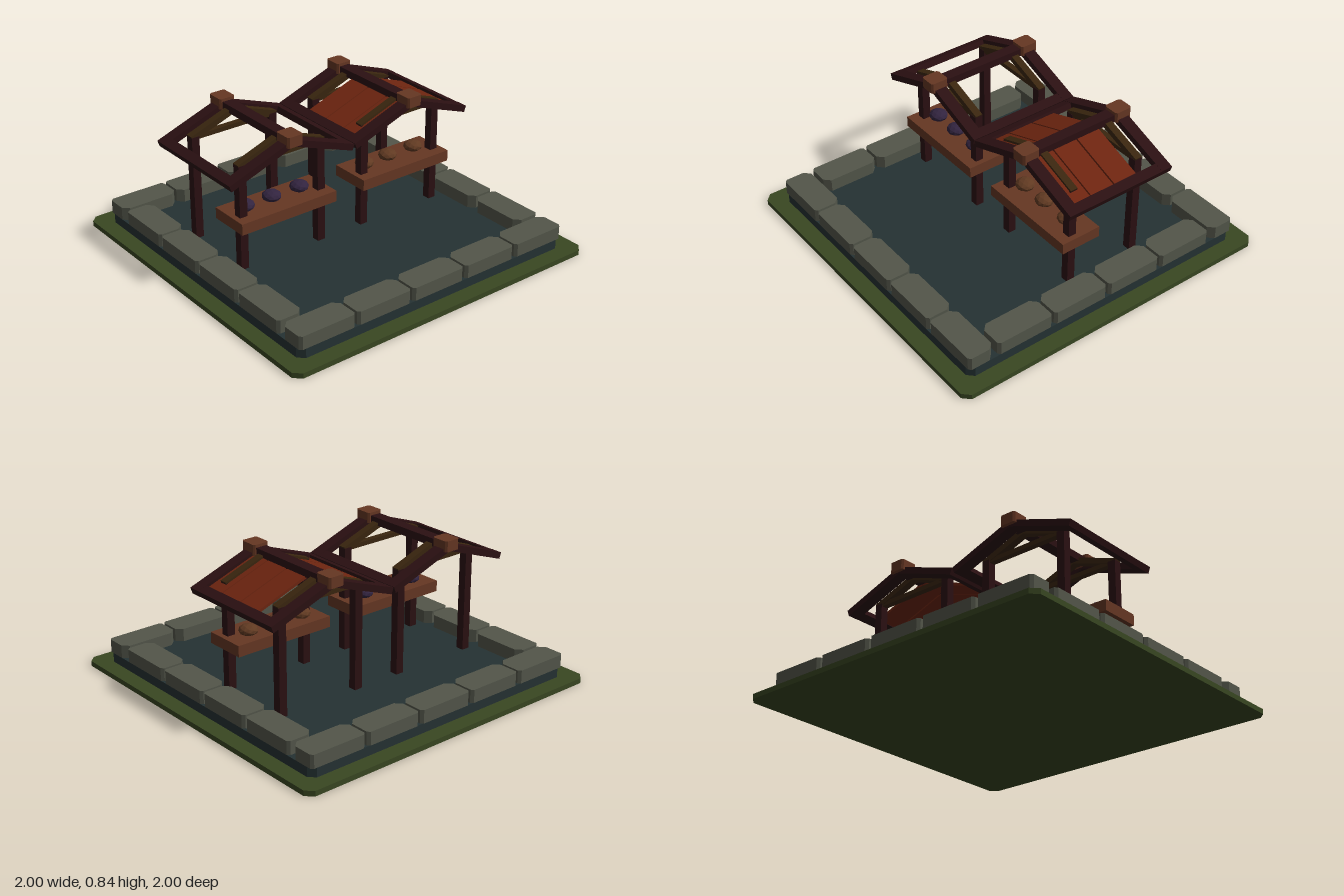
import * as THREE from 'three';

const paint = (name, color) => {
  const m = new THREE.MeshStandardMaterial({ color, flatShading: true });
  m.name = name;
  return m;
};

export function createModel() {
  const root = new THREE.Group();
  root.name = 'marketStalls';
  const grass = paint('grass green', 0x394722);
  const floor = paint('slate floor', 0x253233);
  const stone = paint('stone grey', 0x53564a);
  const darkWood = paint('dark wood', 0x2b1012);
  const midWood = paint('brown wood', 0x663723);
  const oliveWood = paint('olive wood', 0x3a260f);
  const plankRed = paint('red planks', 0x6e2510);
  const purple = paint('purple produce', 0x32243f);
  const tan = paint('tan produce', 0x613a22);

  const add = (parent, name, geo, mat, x = 0, y = 0, z = 0) => {
    const m = new THREE.Mesh(geo, mat);
    m.name = name;
    m.position.set(x, y, z);
    parent.add(m);
    return m;
  };
  const box = (parent, name, mat, x0, x1, y0, y1, z0, z1) =>
    add(parent, name, new THREE.BoxGeometry(x1 - x0, y1 - y0, z1 - z0), mat,
      (x0 + x1) / 2, (y0 + y1) / 2, (z0 + z1) / 2);

  // upright slab with cut corners; cB for the -z side, cF for the +z side
  const slab = (w, d, h, cB, cF = cB) => {
    const a = w / 2, b = d / 2;
    const pts = [[-a + cF, -b], [a - cF, -b], [a, -b + cF], [a, b - cB],
      [a - cB, b], [-a + cB, b], [-a, b - cB], [-a, -b + cF]];
    const g = new THREE.ExtrudeGeometry(new THREE.Shape(pts.map(p => new THREE.Vector2(...p))),
      { depth: h, bevelEnabled: false });
    return g.rotateX(-Math.PI / 2);
  };

  // beam in the xy plane between two points
  const beam = (parent, name, mat, x0, y0, x1, y1, thick, z0, z1) => {
    const m = add(parent, name,
      new THREE.BoxGeometry(Math.hypot(x1 - x0, y1 - y0), thick, z1 - z0), mat,
      (x0 + x1) / 2, (y0 + y1) / 2, (z0 + z1) / 2);
    m.rotation.z = Math.atan2(y1 - y0, x1 - x0);
    return m;
  };

  // ground
  add(root, 'grassBase', slab(2, 2, 0.03, 0.04), grass);
  add(root, 'slateFloor', slab(1.81, 1.81, 0.055, 0.035), floor, 0, 0.03, 0);

  // stone border: five blocks front and back, four on each side
  const block = slab(0.35, 0.16, 0.077, 0.035, 0.015);
  for (let i = 0; i < 5; i++) {
    const x = (i - 2) * 0.365;
    add(root, 'frontStone', block, stone, x, 0.085, 0.825);
    add(root, 'backStone', block, stone, x, 0.085, -0.828).rotation.y = Math.PI;
  }
  for (let i = 0; i < 4; i++) {
    const z = (i - 1.5) * 0.366 - 0.003;
    add(root, 'leftStone', block, stone, 0.825, 0.085, z).rotation.y = Math.PI / 2;
    add(root, 'rightStone', block, stone, -0.825, 0.085, z).rotation.y = -Math.PI / 2;
  }

  const ridgeY = 0.793, slope = 0.357;
  const roofY = dx => ridgeY - slope * dx;

  const stall = (name, cx, produce, spots, planked) => {
    const g = new THREE.Group();
    g.name = name;
    g.position.x = cx;
    root.add(g);

    for (const s of [-1, 1]) {
      // posts and gable braces
      for (const z of [0.076, -0.363]) {
        box(g, 'post', darkWood, s * 0.257 - 0.024, s * 0.257 + 0.024, 0.08, 0.7, z - 0.024, z + 0.024);
        beam(g, 'gableBrace', oliveWood, 0, roofY(0) - 0.002, s * 0.278, roofY(0.278) - 0.002,
          0.034, z - 0.022, z + 0.022);
      }
      // rafters
      for (const z of [0.165, -0.455])
        beam(g, 'rafter', darkWood, 0, ridgeY, s * 0.4, roofY(0.4), 0.038, z - 0.035, z + 0.035);
      // eave beam
      beam(g, 'eaveBeam', darkWood, s * 0.345, roofY(0.345), s * 0.4, roofY(0.4), 0.036, -0.49, 0.2);
      // roof planks, with one left off at the back
      if (planked)
        for (const [z0, z1] of [[-0.295, -0.148], [-0.139, 0.01], [0.018, 0.15]])
          beam(g, 'roofPlank', plankRed, 0, ridgeY - 0.006, s * 0.36, roofY(0.36) - 0.006, 0.016, z0, z1);
    }
    // cross ties, ridge beam and its end caps
    for (const z of [0.076, -0.363])
      box(g, 'crossTie', oliveWood, -0.278, 0.278, 0.682, 0.708, z - 0.018, z + 0.018);
    box(g, 'ridgeBeam', darkWood, -0.034, 0.034, 0.78, 0.825, -0.49, 0.2);
    for (const z of [0.167, -0.457])
      add(g, 'ridgeCap', slab(0.098, 0.108, 0.062, 0.01), midWood, 0, 0.78, z);

    // counter and produce
    box(g, 'counter', midWood, -0.312, 0.312, 0.335, 0.4, -0.084, 0.163);
    spots.forEach((x, i) => {
      const p = add(g, 'produce', new THREE.IcosahedronGeometry(0.055, 1), produce, x - cx, 0.42, 0.02);
      p.scale.y = 0.6;
      p.rotation.y = i * 1.3;
    });
  };

  stall('rightStall', -0.41, purple, [-0.605, -0.43, -0.245], false);
  stall('leftStall', 0.407, tan, [0.215, 0.385, 0.575], true);
  return root;
}
